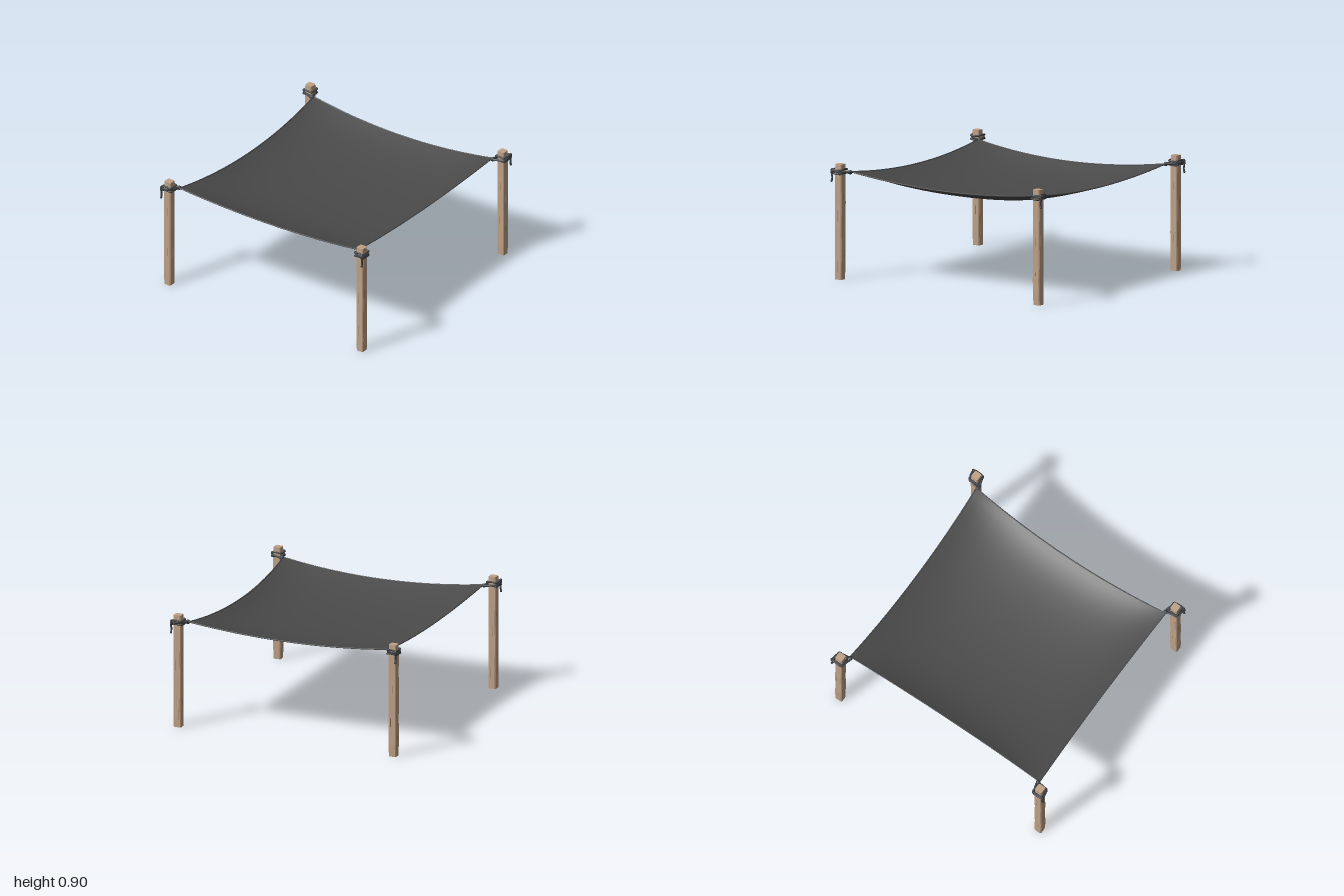
import * as THREE from 'three';

const mat = (name, color, side = THREE.FrontSide) => {
  const m = new THREE.MeshStandardMaterial({ color, side });
  m.name = name;
  return m;
};

export function createModel() {
  const wood = mat('wood', 0xbfa186);
  wood.flatShading = true;
  const grain = mat('dark wood grain', 0x927860);
  const cloth = mat('charcoal cloth', 0x4a4a4a, THREE.DoubleSide);
  const rope = mat('dark rope', 0x3d4043);

  const model = new THREE.Group();
  model.name = 'shadeSail';
  const add = (parent, name, geometry, material) => {
    const mesh = new THREE.Mesh(geometry, material);
    mesh.name = name;
    parent.add(mesh);
    return mesh;
  };
  const tube = (points, radius, closed = false, steps = 40) =>
    new THREE.TubeGeometry(new THREE.CatmullRomCurve3(points, closed), steps, radius, 8, closed);

  // Sail: u and v run from -1 to 1; edges curve inwards and the middle sags
  const sailPoint = (u, v) => new THREE.Vector3(
    u * (0.863 + 0.025 * v * v),
    0.835 - 0.07 * (1 - u * u) - 0.06 * (1 - v * v) - 0.05 * (1 - u ** 4) * (1 - v ** 6),
    v * (0.803 + 0.038 * u * u));
  const sail = new THREE.PlaneGeometry(2, 2, 32, 32).rotateX(-Math.PI / 2);
  const sp = sail.attributes.position;
  for (let i = 0; i < sp.count; i++) {
    const p = sailPoint(sp.getX(i), sp.getZ(i));
    sp.setXYZ(i, p.x, p.y, p.z);
  }
  sail.computeVertexNormals();
  add(model, 'sail', sail, cloth);

  // Hem along the four edges
  for (const s of [-1, 1]) {
    const along = (f) => Array.from({ length: 13 }, (_, i) => f(-1 + i / 6));
    add(model, 'hemAcross', tube(along((t) => sailPoint(t, s)), 0.005), cloth);
    add(model, 'hemAlong', tube(along((t) => sailPoint(s, t)), 0.005), cloth);
  }

  // Post: chamfered square section, slightly uneven along its height
  const H = 0.9, R = 0.032, C = 0.025;
  const section = [[R, C], [C, R], [-C, R], [-R, C], [-R, -C], [-C, -R], [C, -R], [R, -C]];
  const postGeometry = (seed) => {
    const g = new THREE.CylinderGeometry(1, 1, H, 8, 9).translate(0, H / 2, 0);
    const p = g.attributes.position;
    for (let i = 0; i < p.count; i++) {
      const x = p.getX(i), z = p.getZ(i), y = p.getY(i);
      if (Math.hypot(x, z) < 0.1) continue;
      const k = Math.round(Math.atan2(z, x) / (Math.PI / 4) + 8) % 8;
      const end = y < 0.01 || y > H - 0.01 ? 0.94 : 1;
      const w = 0.0012 * Math.sin(y * 17 + seed * 2);
      p.setXYZ(i, section[k][0] * end + w, y, section[k][1] * end - w);
    }
    g.computeVertexNormals();
    return g;
  };

  // One post with its lashing at each corner
  let n = 0;
  for (const sx of [-1, 1]) for (const sz of [-1, 1]) {
    n++;
    const corner = new THREE.Group();
    corner.name = 'cornerPost';
    model.add(corner);
    const V = (x, y, z) => new THREE.Vector3(sx * x, y, sz * z);
    const cx = 0.935, cz = 0.905;

    add(corner, 'post', postGeometry(n), wood).position.set(sx * cx, 0, sz * cz);

    // Narrow grain streaks on all four faces
    for (let f = 0; f < 4; f++) for (let j = 0; j < 2; j++) {
      const a = f * Math.PI / 2;
      const streak = add(corner, 'grainStreak',
        new THREE.BoxGeometry(0.004, 0.05 + 0.02 * ((f + n) % 3), 0.002), grain);
      const off = 0.012 * Math.sin(n * 3 + f * 2 + j * 4);
      const y = 0.2 + 0.36 * j + 0.1 * Math.sin(n * 2.3 + f * 1.7 + j);
      streak.position.set(sx * cx + Math.sin(a) * 0.032 + Math.cos(a) * off, y,
        sz * cz + Math.cos(a) * 0.032 - Math.sin(a) * off);
      streak.rotation.y = a;
    }

    // Loose loop from the sail corner round the post
    add(corner, 'ropeLoop', tube([
      V(0.875, 0.832, 0.848), V(0.885, 0.835, 0.895), V(0.908, 0.84, 0.945), V(0.95, 0.846, 0.951),
      V(0.982, 0.848, 0.943), V(0.98, 0.846, 0.895), V(0.95, 0.84, 0.864), V(0.905, 0.835, 0.854),
    ], 0.0085, true, 64), rope);

    // Tighter wraps against the post
    for (const y of [0.828, 0.858]) {
      const w = 0.038;
      add(corner, 'ropeWrap', tube([
        V(cx - w, y, cz - w), V(cx, y - 0.004, cz - w), V(cx + w, y, cz - w), V(cx + w, y + 0.004, cz),
        V(cx + w, y, cz + w), V(cx, y - 0.004, cz + w), V(cx - w, y, cz + w), V(cx - w, y + 0.004, cz),
      ], 0.007, true, 48), rope);
    }

    // Knots and hanging tails
    const knot = (name, p, r) => add(corner, name, new THREE.SphereGeometry(r, 10, 8), rope).position.copy(p);
    knot('sailKnot', V(0.88, 0.832, 0.85), 0.017);
    knot('postKnot', V(0.978, 0.845, 0.941), 0.015);
    add(corner, 'ropeTail', tube(
      [V(0.976, 0.845, 0.94), V(0.988, 0.825, 0.943), V(0.983, 0.795, 0.943), V(0.989, 0.768, 0.944)], 0.0075, false, 16), rope);
    add(corner, 'ropeEnd', tube(
      [V(0.972, 0.848, 0.942), V(0.984, 0.862, 0.944), V(0.992, 0.85, 0.944), V(0.991, 0.835, 0.944)], 0.0075, false, 16), rope);
    knot('tailTip', V(0.989, 0.768, 0.944), 0.0095);
    knot('endTip', V(0.991, 0.835, 0.944), 0.009);
  }
  return model;
}
